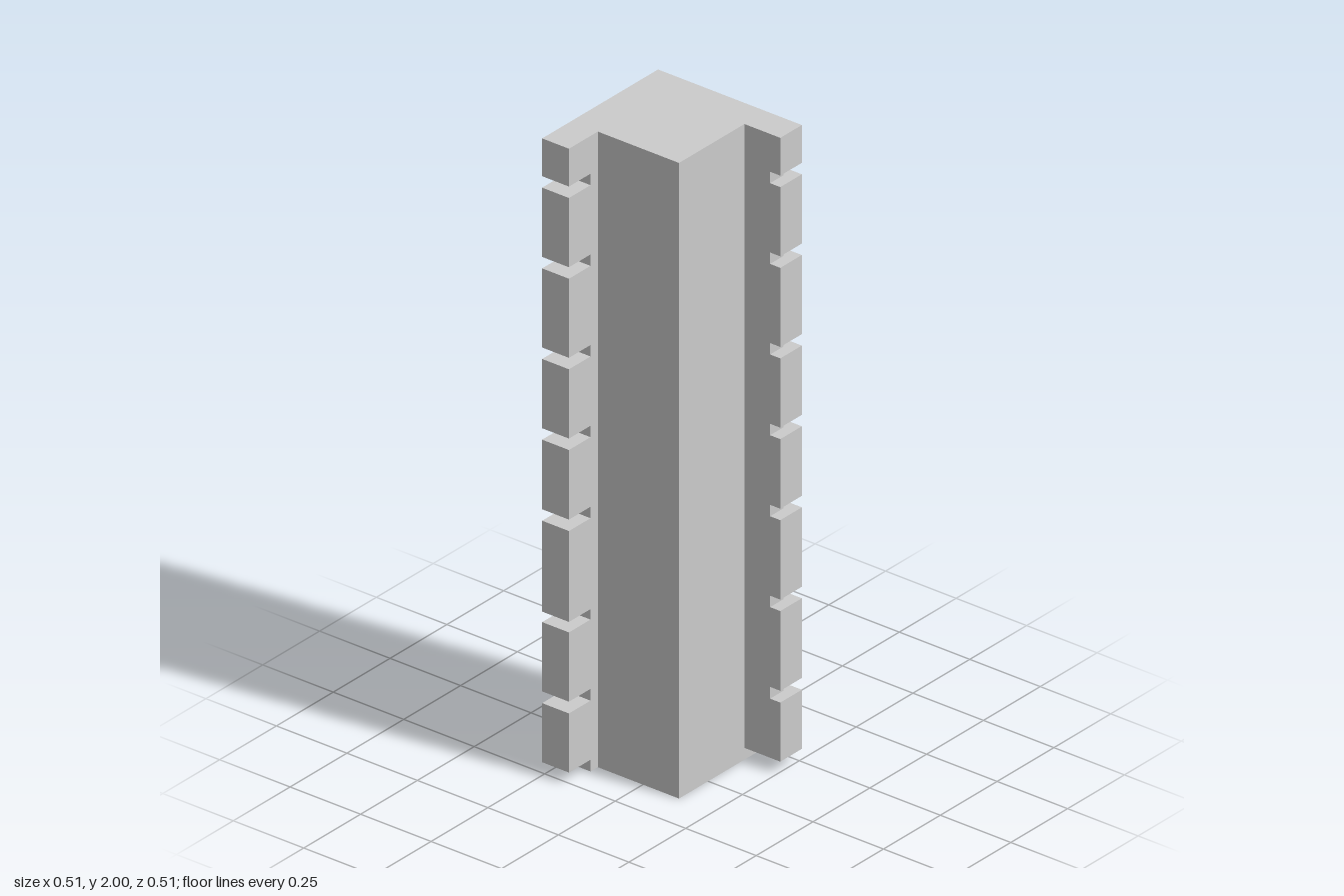
import * as THREE from 'three';

const material = new THREE.MeshStandardMaterial({ color: 0xcccccc, flatShading: true });

const OUT = 0.255;   // outer face of the stones
const IN = 0.219;    // recessed face inside a joint
const WING = 0.16;   // inner face of the two thin wings
const CORE = 0.128;  // exposed faces of the pier body

// Inner corner shared by every course: front wing, pier body, back wing
const innerSide = [[WING, CORE], [-CORE, CORE], [-CORE, -WING]];

// Plan outlines as [x, z]
const stonePlan = [
  [-OUT, -OUT], [OUT, -OUT], [OUT, OUT], [WING, OUT], ...innerSide, [-OUT, -WING],
];
const jointPlan = [
  [-WING, -IN], [IN, -IN], [IN, IN], [WING, IN], ...innerSide, [-WING, -WING],
];
// Stepped joint: the lower part stops short of the front end, the upper part covers only that end
const lowerStepPlan = [
  [-WING, -IN], [IN, -IN], [IN, 0.193], [OUT, 0.193], [OUT, OUT], [WING, OUT],
  ...innerSide, [-WING, -WING],
];
const upperStepPlan = [
  [-OUT, -OUT], [OUT, -OUT], [OUT, 0.157], [IN, 0.157], [IN, IN], [WING, IN],
  ...innerSide, [-OUT, -WING],
];
// Foot: both wing ends are cut away at the ground
const footPlan = [
  [-WING, -OUT], [OUT, -OUT], [OUT, CORE], [-CORE, CORE], [-CORE, -WING], [-WING, -WING],
];

// Extrudes a plan outline upward from y0 to y1
function course(name, plan, y0, y1) {
  const shape = new THREE.Shape(plan.map(([x, z]) => new THREE.Vector2(x, -z)));
  const geometry = new THREE.ExtrudeGeometry(shape, { depth: y1 - y0, bevelEnabled: false });
  geometry.rotateX(-Math.PI / 2);
  geometry.translate(0, y0, 0);
  const mesh = new THREE.Mesh(geometry, material);
  mesh.name = name;
  return mesh;
}

export function createModel() {
  const pier = new THREE.Group();
  pier.name = 'cornerPier';

  // Foot and stepped joint
  pier.add(course('foot', footPlan, 0, 0.037));
  pier.add(course('steppedJointLower', lowerStepPlan, 0.478, 0.511));
  pier.add(course('steppedJointUpper', upperStepPlan, 0.511, 0.547));

  // Stones, bottom to top
  const stones = [
    [0.037, 0.223], [0.26, 0.478], [0.547, 0.797], [0.833, 1.052],
    [1.088, 1.306], [1.342, 1.591], [1.627, 1.845], [1.881, 2],
  ];
  stones.forEach(([y0, y1], i) => {
    pier.add(course(`stone${i + 1}`, stonePlan, y0, y1));
    // Plain recessed joint up to the next stone (the second gap is the stepped joint)
    if (i !== 1 && i < stones.length - 1) {
      pier.add(course(`joint${i + 1}`, jointPlan, y1, stones[i + 1][0]));
    }
  });
  return pier;
}
